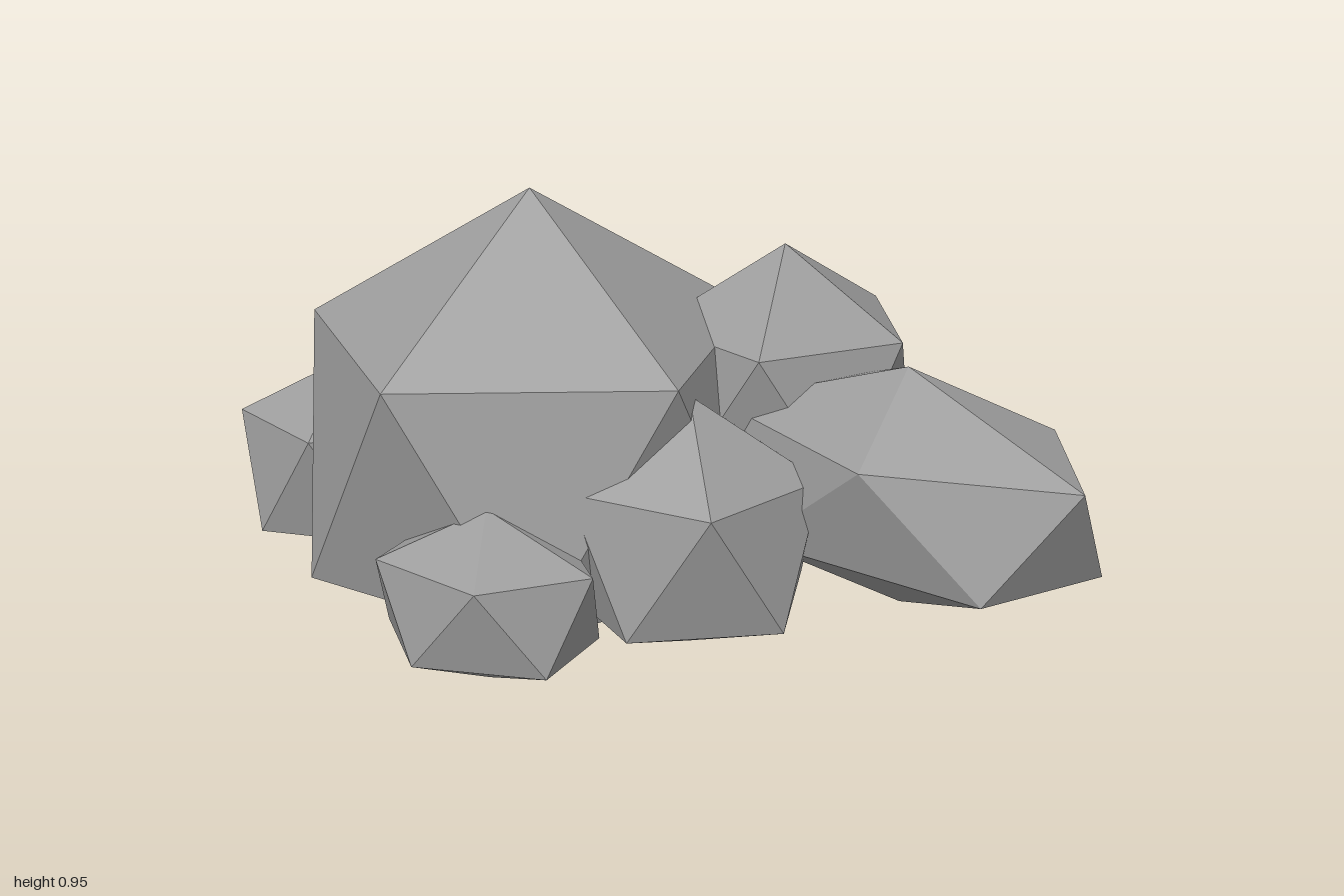
import * as THREE from 'three';

const material = new THREE.MeshStandardMaterial({ color: 0x9c9c9c, flatShading: true });
const rad = THREE.MathUtils.degToRad;
const GOLDEN = (1 + Math.sqrt(5)) / 2;

// Icosahedral boulder standing on one corner.
// at: centre, size: radii, phase: angle of the first upper corner from +x to +z,
// turn: heading of the stretched boulder,
// cap and base: height of the top corner and depth of the bottom corner (1 = regular).
function boulder({ name, at, size, phase, turn = 0, cap = 1, base = 1 }) {
  const geometry = new THREE.IcosahedronGeometry(1, 0);
  geometry.rotateZ(-Math.atan(1 / GOLDEN));
  geometry.rotateY(-rad(phase));

  // Flatten the boulder by moving its top and bottom corners
  const position = geometry.attributes.position;
  for (let i = 0; i < position.count; i++) {
    const y = position.getY(i);
    if (y > 0.9) position.setY(i, cap);
    if (y < -0.9) position.setY(i, -base);
  }

  geometry.scale(...size);
  geometry.rotateY(-rad(turn));
  geometry.computeVertexNormals();
  const mesh = new THREE.Mesh(geometry, material);
  mesh.name = name;
  mesh.position.set(...at);
  return mesh;
}

const boulders = [
  { name: 'mainBoulder', at: [-0.26, 0.37, -0.08], size: [0.578, 0.58, 0.578], phase: 42.3, base: 0.635 },
  { name: 'leftLongBoulder', at: [0.577, 0.374, 0.07], size: [0.535, 0.268, 0.29], phase: 9.2, turn: 33.1 },
  { name: 'backBoulder', at: [0.28, 0.485, -0.228], size: [0.327, 0.325, 0.327], phase: 21.6, base: 0.64 },
  { name: 'frontBoulder', at: [0.13, 0.273, 0.17], size: [0.313, 0.313, 0.313], phase: 0, base: 0.8 },
  { name: 'smallFrontBoulder', at: [-0.258, 0.188, 0.387], size: [0.276, 0.2125, 0.214], phase: 2, turn: 15, cap: 0.95, base: 0.85 },
  { name: 'rightBoulder', at: [-0.758, 0.208, -0.313], size: [0.28, 0.28, 0.28], phase: 23, cap: 0.89, base: 0.68 },
];

export function createModel() {
  const group = new THREE.Group();
  group.name = 'rockCluster';
  for (const spec of boulders) group.add(boulder(spec));
  return group;
}
